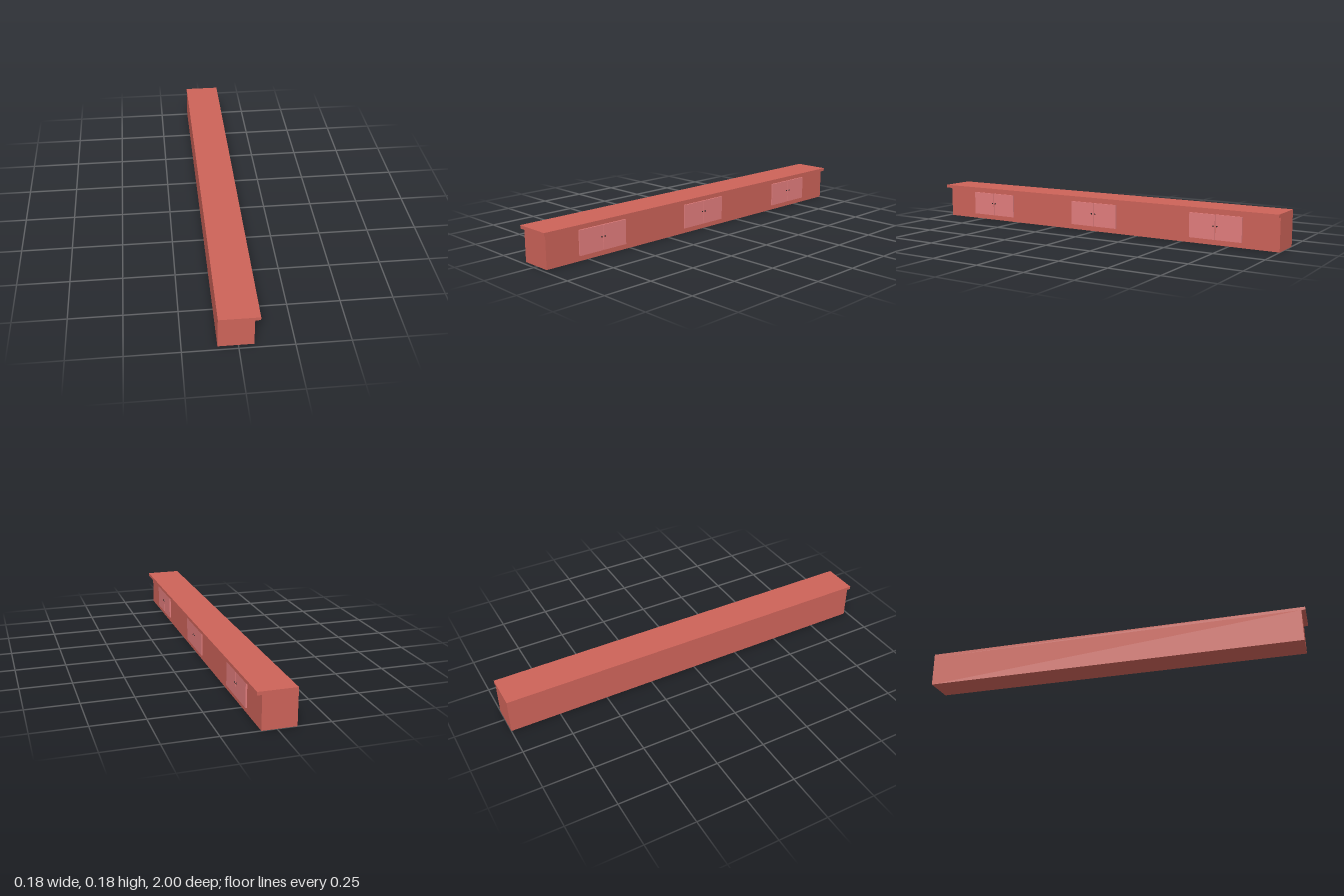
import * as THREE from 'three';

export function createModel() {
  const group = new THREE.Group();
  const wood = new THREE.MeshStandardMaterial({ color: 0xcd6359 });
  const doorPaint = new THREE.MeshStandardMaterial({ color: 0xe27d7d });
  const black = new THREE.MeshStandardMaterial({ color: 0x0a0a0a });

  // Box given by its minimum and maximum corners
  function box(name, material, min, max) {
    const size = max.map((v, i) => v - min[i]);
    const mesh = new THREE.Mesh(new THREE.BoxGeometry(...size), material);
    mesh.position.set(...max.map((v, i) => (v + min[i]) / 2));
    mesh.name = name;
    group.add(mesh);
  }

  // Long cabinet with a worktop overhanging the door side and one end
  box('cabinetBody', wood, [-0.092, 0, -1], [0.07, 0.162, 0.98]);
  box('worktop', wood, [-0.092, 0.162, -1], [0.092, 0.178, 1]);

  // Three pairs of doors, each with a small round knob beside the seam
  const knob = new THREE.SphereGeometry(0.0035, 16, 12);
  for (const z of [0.665, 0.005, -0.681]) {
    for (const side of [1, -1]) {
      const inner = z + side * 0.002;
      const outer = z + side * 0.136;
      box('door', doorPaint,
        [0.07, 0.026, Math.min(inner, outer)],
        [0.077, 0.148, Math.max(inner, outer)]);
      const mesh = new THREE.Mesh(knob, black);
      mesh.position.set(0.078, 0.092, z + side * 0.01);
      mesh.name = 'doorKnob';
      group.add(mesh);
    }
  }
  return group;
}
